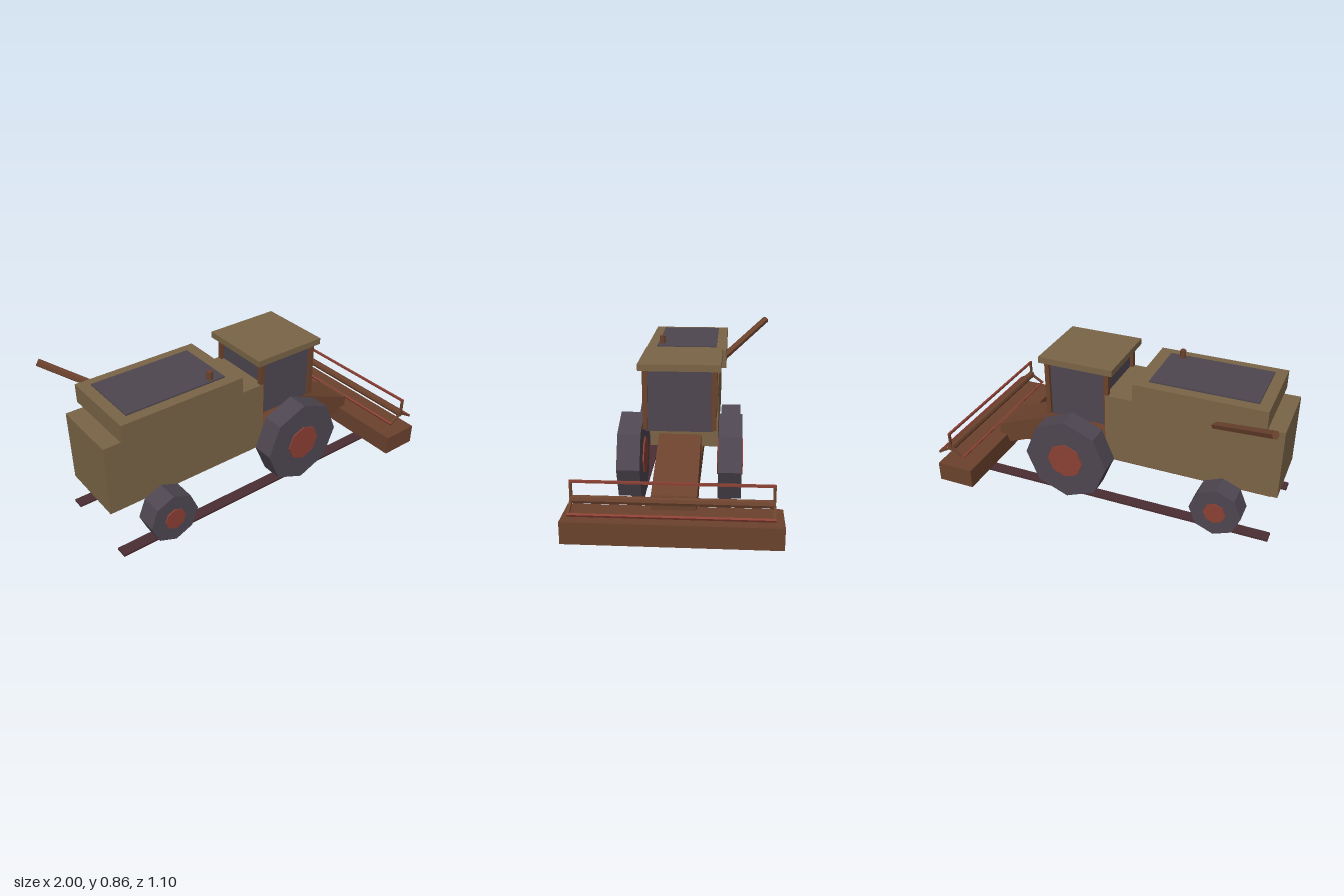
import * as THREE from 'three';

const mat = (name, color) => {
  const m = new THREE.MeshStandardMaterial({ color, flatShading: true });
  m.name = name;
  return m;
};

export function createModel() {
  const tan = mat('tan', 0x7a6446);
  const brown = mat('brown', 0x6b422d);
  const dark = mat('dark grey', 0x4e4650);
  const red = mat('red', 0x8b4034);
  const strip = mat('dark maroon', 0x4a2e33);

  const model = new THREE.Group();
  model.name = 'harvester';

  const add = (name, geometry, material, parent = model) => {
    const mesh = new THREE.Mesh(geometry, material);
    mesh.name = name;
    parent.add(mesh);
    return mesh;
  };
  // Box given by its low and high limits on each axis
  const box = (name, material, [x0, x1], [y0, y1], [z0, z1], parent) => {
    const mesh = add(name, new THREE.BoxGeometry(x1 - x0, y1 - y0, z1 - z0), material, parent);
    mesh.position.set((x0 + x1) / 2, (y0 + y1) / 2, (z0 + z1) / 2);
    return mesh;
  };
  // Faceted rod between two points
  const rod = (name, material, a, b, radius, sides, parent) => {
    const from = new THREE.Vector3(...a), to = new THREE.Vector3(...b);
    const dir = to.clone().sub(from);
    const mesh = add(name, new THREE.CylinderGeometry(radius, radius, dir.length(), sides), material, parent);
    mesh.position.copy(from).add(to).multiplyScalar(0.5);
    mesh.quaternion.setFromUnitVectors(new THREE.Vector3(0, 1, 0), dir.normalize());
    return mesh;
  };

  // Hull, grain tank and chassis
  box('body', tan, [-0.99, 0.03], [0.248, 0.668], [-0.203, 0.203]);
  box('grainTank', tan, [-0.9, -0.15], [0.686, 0.796], [-0.244, 0.244]);
  box('tankCover', dark, [-0.835, -0.225], [0.796, 0.804], [-0.182, 0.182]);
  box('chassis', brown, [-0.94, 0.8], [0.178, 0.25], [-0.115, 0.115]);
  rod('exhaust', brown, [-0.305, 0.6, 0.155], [-0.305, 0.85, 0.155], 0.018, 8);
  rod('unloadingAuger', brown, [-0.57, 0.595, -0.155], [-0.985, 0.84, -0.507], 0.023, 6);

  // Cab
  const cab = new THREE.Group();
  cab.name = 'cab';
  model.add(cab);
  box('cabGlass', dark, [0.03, 0.393], [0.46, 0.805], [-0.183, 0.183], cab);
  box('cabRoof', tan, [-0.022, 0.43], [0.804, 0.841], [-0.223, 0.223], cab);
  for (const x of [0.024, 0.391])
    for (const z of [-0.187, 0.187])
      box('cabPillar', brown, [x - 0.014, x + 0.014], [0.47, 0.804], [z - 0.014, z + 0.014], cab);

  // Sloping feeder housing
  const side = new THREE.Shape([[0.34, 0.428], [0.285, 0.305], [0.735, 0.128], [0.79, 0.247]]
    .map(([x, y]) => new THREE.Vector2(x, y)));
  const feeder = add('feeder', new THREE.ExtrudeGeometry(side, { depth: 0.234, bevelEnabled: false }), brown);
  feeder.position.z = -0.117;

  // Header and three-bat reel
  box('header', brown, [0.75, 0.972], [0.06, 0.178], [-0.55, 0.55]);
  const reel = new THREE.Group();
  reel.name = 'reel';
  reel.position.set(0.906, 0.273, 0);
  model.add(reel);
  rod('reelAxle', brown, [0, 0, -0.5], [0, 0, 0.5], 0.022, 8, reel);
  for (let i = 0; i < 3; i++) {
    const spoke = new THREE.Group();
    spoke.name = 'reelSpoke';
    spoke.rotation.z = (i * Math.PI * 2) / 3;
    reel.add(spoke);
    box('reelBat', red, [-0.007, 0.007], [0.088, 0.1], [-0.503, 0.503], spoke);
    for (const z of [-0.496, 0.496])
      box('reelArm', brown, [-0.006, 0.006], [0, 0.094], [z - 0.007, z + 0.007], spoke);
  }

  // Wheels and ground strips on both sides
  for (const s of [-1, 1]) {
    for (const [name, x, y, r, hub] of [['frontWheel', 0.227, 0.26, 0.256, 0.11], ['rearWheel', -0.682, 0.152, 0.149, 0.064]]) {
      const wheel = new THREE.Group();
      wheel.name = name;
      wheel.position.set(x, y, s * 0.277);
      wheel.rotation.x = Math.PI / 2;
      model.add(wheel);
      add('tyre', new THREE.CylinderGeometry(r, r, 0.128, 8), dark, wheel);
      add('hub', new THREE.CylinderGeometry(hub, hub, 0.144, 8), red, wheel);
    }
    box('groundStrip', strip, [-0.98, 0.84], [0, 0.012], [s * 0.252 - 0.035, s * 0.252 + 0.035]);
  }
  return model;
}
